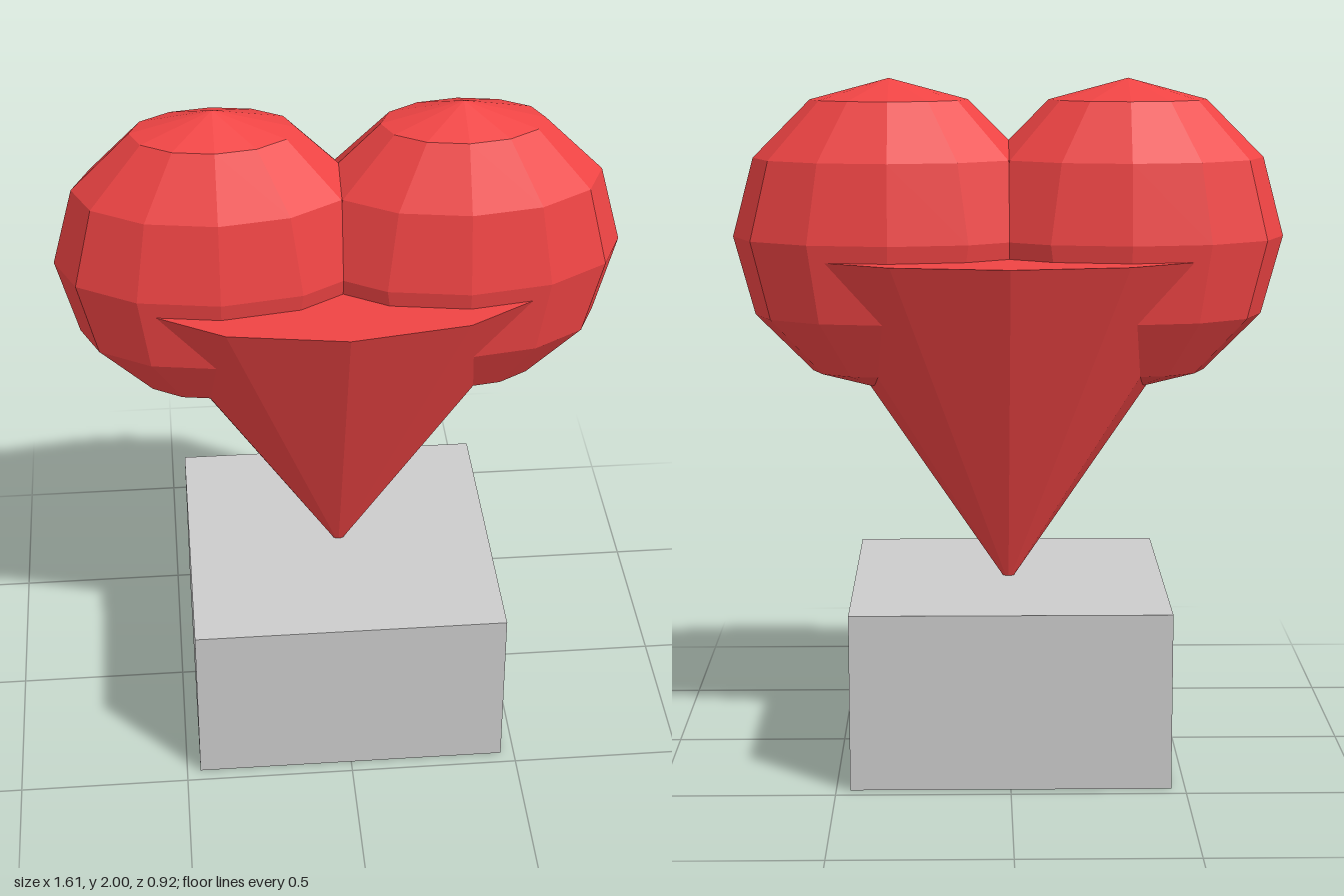
import * as THREE from 'three';

export function createModel() {
  const model = new THREE.Group();
  const red = new THREE.MeshStandardMaterial({ color: 0xef4444, flatShading: true });
  const grey = new THREE.MeshStandardMaterial({ color: 0xcccccc, flatShading: true });
  const flatten = 0.6; // heart depth relative to its width

  const add = (name, geometry, material, x, y) => {
    const mesh = new THREE.Mesh(geometry, material);
    mesh.name = name;
    mesh.position.set(x, y, 0);
    model.add(mesh);
    return mesh;
  };

  // square pedestal
  add('pedestal', new THREE.BoxGeometry(0.92, 0.515, 0.92), grey, 0, 0.2575);

  // heart point: a flattened cone, tip down and just sunk into the pedestal
  const coneHeight = 1.0;
  const cone = new THREE.CylinderGeometry(0.677, 0, coneHeight, 12).scale(1, 1, flatten);
  add('heartPoint', cone, red, 0, 1.49 - coneHeight / 2);

  // two mirrored heart lobes
  const lobe = new THREE.SphereGeometry(0.46, 12, 6).scale(1, 1, flatten);
  for (const [name, side] of [['leftLobe', 1], ['rightLobe', -1]]) {
    add(name, lobe, red, side * 0.347, 1.54);
  }

  return model;
}
